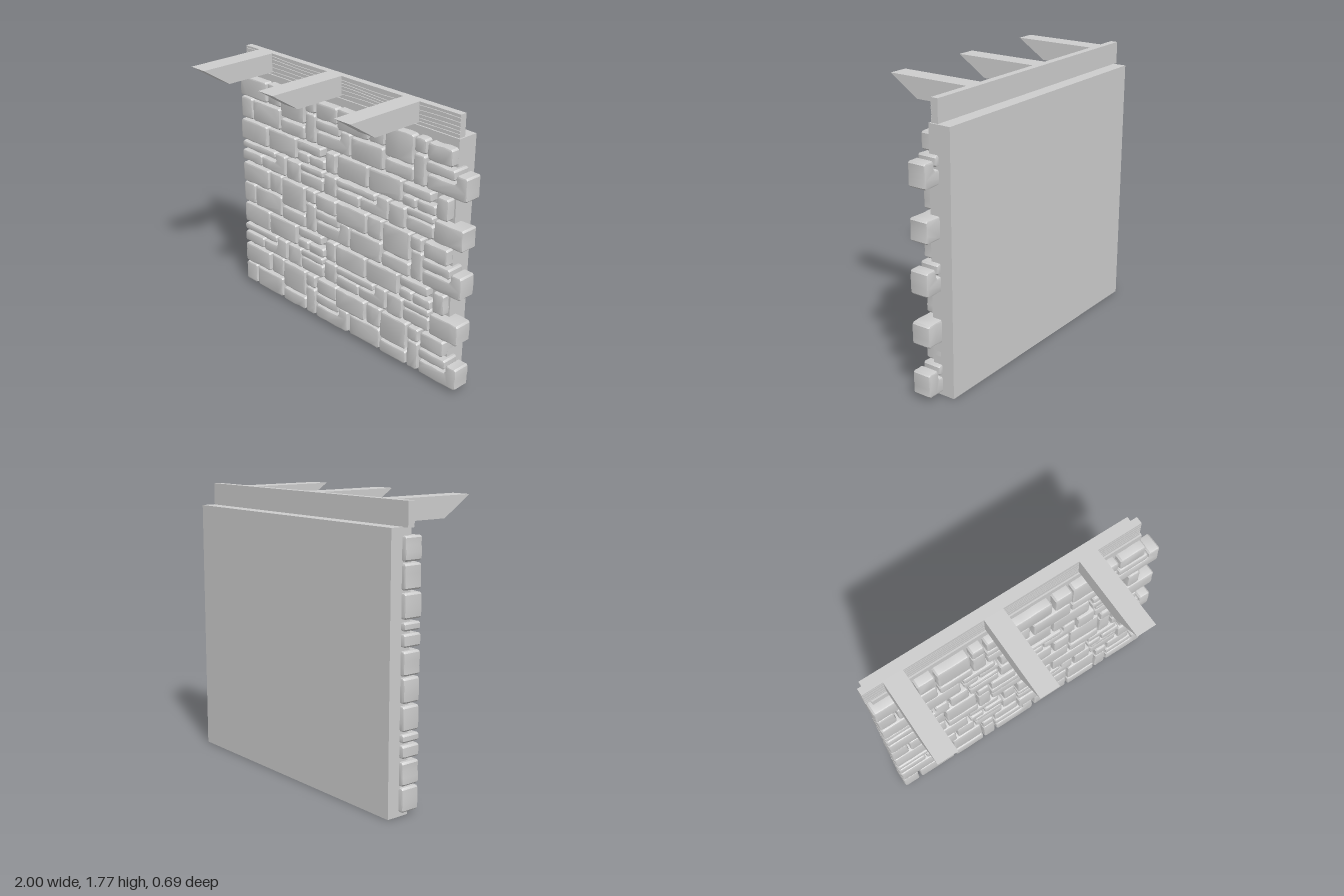
import * as THREE from 'three';
import { toCreasedNormals } from 'three/addons/utils/BufferGeometryUtils.js';

const UNIT = 187.3; // layout units per model unit, x from the wall centre, y down from its top
const TILE_W = 176, TILE_H = 118;
const material = new THREE.MeshStandardMaterial({ color: 0xcccccc });

let seed = 7;
const random = () => {
  seed = (seed * 16807) % 2147483647;
  return seed / 2147483647;
};
const jitter = (amount) => (random() * 2 - 1) * amount;

function addMesh(parent, name, geometry) {
  const mesh = new THREE.Mesh(geometry, material);
  mesh.name = name;
  parent.add(mesh);
  return mesh;
}

function addBox(parent, name, x0, x1, y0, y1, z0, z1) {
  const geometry = new THREE.BoxGeometry(x1 - x0, y1 - y0, z1 - z0);
  geometry.translate((x0 + x1) / 2, (y0 + y1) / 2, (z0 + z1) / 2);
  return addMesh(parent, name, geometry);
}

// Stones of one repeating tile: [left, top, right, bottom]
const blocks = [
  // tall course, upper and lower stones
  [53, 94, 102, 120], [106, 93, 128, 119], [130, 94, 171, 129], [174, 94, 190, 111],
  [193, 95, 227, 115], [192, 117, 232, 129], [77, 122, 127, 149], [130, 132, 172, 149],
  [174, 113, 190, 149],
];
const middleBlocks = [
  [53, 152, 102, 179], [105, 152, 155, 179], [159, 152, 201, 164], [159, 167, 178, 179],
  [180, 167, 206, 179], [209, 153, 225, 179],
];
const lowBlocks = [
  [53, 182, 116, 191], [53, 194, 90, 208], [139, 183, 163, 209],
  [165, 181, 204, 190], [165, 192, 204, 208],
];
// L-shaped stones
const cornerStone = [[193, 132], [234, 132], [234, 121], [249, 121], [249, 149], [193, 149]];
const hookStone = [[92, 194], [119, 194], [119, 182], [136, 182], [136, 208], [92, 208]];

const rect = ([l, t, r, b]) => [[l, t], [r, t], [r, b], [l, b]];

// Cut stone: chamfered corners, slightly wavy edges, bevelled faces
function addStone(parent, corners, dx, dy) {
  const points = [];
  corners.forEach((a, i) => {
    const b = corners[(i + 1) % corners.length];
    const length = Math.hypot(b[0] - a[0], b[1] - a[1]);
    const ux = (b[0] - a[0]) / length, uy = (b[1] - a[1]) / length;
    const steps = Math.max(1, Math.round(length / 10));
    const cut = 2;
    for (let s = 0; s <= steps; s++) {
      const d = cut + (length - 2 * cut) * s / steps;
      const wave = s === 0 || s === steps ? 0 : jitter(0.7);
      const px = a[0] + ux * d - uy * wave + dx, py = a[1] + uy * d + ux * wave + dy;
      points.push(new THREE.Vector2((px - 238.3) / UNIT, (390 - py) / UNIT));
    }
  });
  const bevel = 0.011, back = -0.265, front = -0.143 + jitter(0.005);
  const geometry = new THREE.ExtrudeGeometry(new THREE.Shape(points), {
    depth: front - back - 2 * bevel, bevelEnabled: true, bevelThickness: bevel,
    bevelSize: bevel, bevelOffset: -bevel, bevelSegments: 2,
  });
  geometry.translate(0, 0, back + bevel);
  addMesh(parent, 'stone', toCreasedNormals(geometry, 0.5));
}

function createStones() {
  const stones = new THREE.Group();
  stones.name = 'stonework';
  for (let row = 0; row < 3; row++) {
    const dy = row * TILE_H;
    // stone closing the left end of the tall course
    addStone(stones, rect([53, 122, 74, 149]), 0, dy);
    for (let column = 0; column < 3 - 1; column++) {
      const dx = column * TILE_W;
      blocks.forEach((b) => addStone(stones, rect(b), dx, dy));
      addStone(stones, cornerStone, dx, dy);
      if (row === 2) continue;
      middleBlocks.forEach((b) => addStone(stones, rect(b), dx, dy));
      lowBlocks.forEach((b) => addStone(stones, rect(b), dx, dy));
      addStone(stones, hookStone, dx, dy);
      // end stone sticks out past the wall on the last tile
      addStone(stones, rect([207, 182, column ? 248 : 227, 208]), dx, dy);
    }
  }
  return stones;
}

// Board with wavy strips of wood grain standing proud of its face
function createBoard() {
  const board = new THREE.Group();
  board.name = 'woodBoard';
  const x0 = -0.995, x1 = 0.87, y0 = 1.625, y1 = 1.767;
  addBox(board, 'boardCore', x0, x1, y0, y1, -0.257, -0.217);
  const strips = 6, steps = 48, gap = 0.002;
  const grain = (k, x) => {
    const y = y0 + (y1 - y0) * k / strips;
    if (k === 0 || k === strips) return y;
    return y + 0.006 * Math.sin(3.1 * x + k * 0.9) + 0.004 * Math.sin(8.3 * x + k * 0.5);
  };
  for (let k = 0; k < strips; k++) {
    const points = [];
    for (let i = 0; i <= steps; i++) {
      const x = x0 + (x1 - x0) * i / steps;
      points.push(new THREE.Vector2(x, grain(k, x) + (k ? gap : 0)));
    }
    for (let i = steps; i >= 0; i--) {
      const x = x0 + (x1 - x0) * i / steps;
      points.push(new THREE.Vector2(x, grain(k + 1, x) - (k < strips - 1 ? gap : 0)));
    }
    const geometry = new THREE.ExtrudeGeometry(new THREE.Shape(points), { depth: 0.009, bevelEnabled: false });
    geometry.translate(0, 0, -0.219);
    addMesh(board, 'grainStrip', geometry);
  }
  return board;
}

// Rafter end with a slanted cut, drawn in profile (z, y)
function addRafter(parent, x) {
  const width = 0.128;
  const profile = new THREE.Shape([
    new THREE.Vector2(-0.22, 1.64), new THREE.Vector2(0.15, 1.64),
    new THREE.Vector2(0.345, 1.767), new THREE.Vector2(-0.22, 1.767),
  ]);
  const geometry = new THREE.ExtrudeGeometry(profile, { depth: width, bevelEnabled: false });
  geometry.rotateY(-Math.PI / 2);
  geometry.translate(x + width / 2, 0, 0);
  addMesh(parent, 'rafter', geometry);
}

export function createModel() {
  seed = 7;
  const model = new THREE.Group();
  model.name = 'stoneWall';
  addBox(model, 'wallSlab', -0.96, 0.88, 0, 1.627, -0.345, -0.2);
  model.add(createStones(), createBoard());
  [-0.796, -0.144, 0.499].forEach((x) => addRafter(model, x));
  return model;
}
